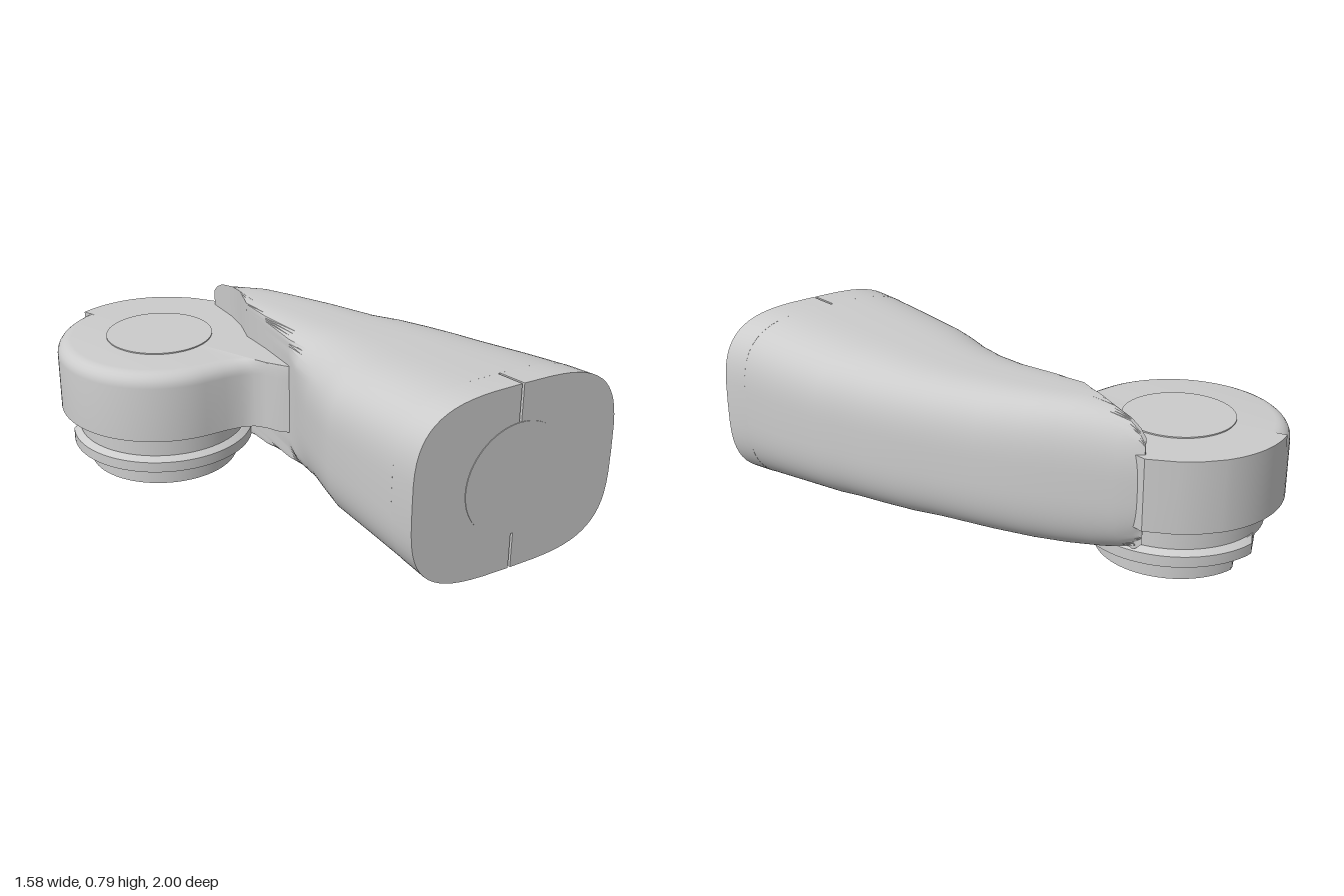
import * as THREE from 'three';
import { toCreasedNormals } from 'three/addons/utils/BufferGeometryUtils.js';

const HEAD = { x: -0.36, z: -0.567, r: 0.434 };
const FRONT = 1, COLLAR = 0.88;

// Arm sections: z, left, right, cut wall on the head side, bottom, top
const ARM = [
  [1, -0.13, 0.79, -1, 0.02, 0.785],
  [0.88, -0.135, 0.765, -1, 0.03, 0.78],
  [0.7, -0.145, 0.725, -1, 0.045, 0.765],
  [0.48, -0.155, 0.67, -1, 0.06, 0.745],
  [0.38, -0.14, 0.635, -0.8, 0.07, 0.74],
  [0.25, -0.115, 0.59, -0.3, 0.078, 0.73],
  [0.12, -0.11, 0.54, -0.085, 0.085, 0.72],
  [0, -0.13, 0.48, -0.05, 0.09, 0.71],
  [-0.2, -0.17, 0.385, -0.045, 0.09, 0.71],
  [-0.35, -0.2, 0.3, -0.05, 0.09, 0.71],
  [-0.47, -0.24, 0.228, -0.015, 0.095, 0.71],
  [-0.58, -0.27, 0.152, 0, 0.105, 0.695],
  [-0.67, -0.28, 0.09, 0, 0.125, 0.675],
  [-0.72, -0.28, 0.052, 0, 0.15, 0.65],
  [-0.75, -0.28, 0.025, 0, 0.18, 0.62],
];

const material = new THREE.MeshStandardMaterial({ color: 0xcccccc });

function part(name, geometry, crease = 0.6) {
  const mesh = new THREE.Mesh(toCreasedNormals(geometry, crease), material);
  mesh.name = name;
  return mesh;
}

// Skin over closed rings of equal length, with a fan cap at both ends
function loft(rings, centres) {
  const n = rings[0].length, pos = [], index = [];
  rings.forEach(ring => ring.forEach(p => pos.push(...p)));
  for (let i = 0; i < rings.length - 1; i++) {
    for (let j = 0; j < n; j++) {
      const a = i * n + j, b = i * n + (j + 1) % n;
      index.push(a, a + n, b, b, a + n, b + n);
    }
  }
  const first = rings.length * n, base = first - n;
  pos.push(...centres[0], ...centres[1]);
  for (let j = 0; j < n; j++) {
    const k = (j + 1) % n;
    index.push(first, j, k, first + 1, base + k, base + j);
  }
  const g = new THREE.BufferGeometry();
  g.setAttribute('position', new THREE.Float32BufferAttribute(pos, 3));
  g.setIndex(index);
  return g;
}

// Point on a unit superellipse
function superPoint(t, n) {
  const f = v => Math.sign(v) * Math.abs(v) ** (2 / n);
  return [f(Math.cos(t)), f(Math.sin(t))];
}

// Places a unit section point into an arm section
function place([u, v], [z, left, right, wall, low, high]) {
  const x = (left + right) / 2 + u * (right - left) / 2;
  return [Math.max(x, wall), (low + high) / 2 + v * (high - low) / 2, z];
}

function armGeometry() {
  const sides = 96;
  const rows = ARM.slice(1);
  const rings = rows.map(row => Array.from({ length: sides }, (_, i) =>
    place(superPoint(i / sides * Math.PI * 2, 3.15 + 0.28 * row[0]), row)));
  const centres = [rows[0], rows.at(-1)].map(r =>
    [(Math.max(r[1], r[3]) + r[2]) / 2, (r[4] + r[5]) / 2, r[0]]);
  return loft(rings, centres);
}

// End collar with a narrow slot at top and bottom
function collarGeometry() {
  const sides = 64, w = 0.011, pts = [];
  for (let i = 0; i < sides; i++) {
    if (i === sides / 4) pts.push([w, 1], [w, 0.6], [-w, 0.6], [-w, 1]);
    else if (i === sides * 3 / 4) pts.push([-w, -1], [-w, -0.6], [w, -0.6], [w, -1]);
    else pts.push(superPoint(i / sides * Math.PI * 2, 3.43));
  }
  const shape = new THREE.Shape(pts.map(p => new THREE.Vector2(...p)));
  const g = new THREE.ExtrudeGeometry(shape, { depth: FRONT - COLLAR, bevelEnabled: false });
  const p = g.attributes.position;
  for (let i = 0; i < p.count; i++) {
    const row = p.getZ(i) > 0.01 ? ARM[0] : ARM[1];
    p.setXYZ(i, ...place([p.getX(i), p.getY(i)], row));
  }
  return g;
}

// Head outline as [x, z, bevel weight]: round, then running into the arm
function headOutline() {
  const pts = [];
  const arc = (from, to, steps, bevel) => {
    for (let i = 0; i <= steps; i++) {
      const a = THREE.MathUtils.degToRad(from + (to - from) * i / steps);
      pts.push([HEAD.x + HEAD.r * Math.cos(a), HEAD.z + HEAD.r * Math.sin(a), bevel]);
    }
  };
  arc(90, 245, 36, 1);
  arc(245.2, 292, 12, 0);
  pts.push([-0.12, -0.928, 0], [-0.05, -0.872, 0], [0.03, -0.775, 0], [0.03, -0.7, 0],
    [0.05, -0.4, 0], [0.05, 0, 0], [-0.05, 0.02, 0], [-0.09, -0.02, 1],
    [-0.115, -0.07, 1], [-0.15, -0.11, 1], [-0.2, -0.128, 1], [-0.27, -0.134, 1]);
  return pts;
}

function headGeometry() {
  const bottom = 0.255, top = 0.553, b = 0.06;
  const levels = [[bottom, 0]];
  for (let i = 0; i <= 6; i++) {
    const a = i / 6 * Math.PI / 2;
    levels.push([top - b + b * Math.sin(a), b * (1 - Math.cos(a))]);
  }
  const outline = headOutline();
  const rings = levels.map(([y, inset]) => outline.map(([x, z, bevel]) => {
    const dx = x - HEAD.x, dz = z - HEAD.z;
    const s = 1 - inset * bevel / Math.hypot(dx, dz);
    return [HEAD.x + dx * s, y, HEAD.z + dz * s];
  }));
  return loft(rings, [[HEAD.x, bottom, HEAD.z], [HEAD.x, top, HEAD.z]]);
}

// Round step around the head axis, optionally with one side cut flat
function disc(name, rTop, rBottom, y0, y1, flat = Infinity) {
  const g = new THREE.CylinderGeometry(rTop, rBottom, y1 - y0, 72);
  const p = g.attributes.position, nx = -0.6, nz = -0.8;
  for (let i = 0; i < p.count; i++) {
    const over = p.getX(i) * nx + p.getZ(i) * nz - flat;
    if (over > 0) p.setXYZ(i, p.getX(i) - nx * over, p.getY(i), p.getZ(i) - nz * over);
  }
  g.translate(HEAD.x, (y0 + y1) / 2, HEAD.z);
  return part(name, g, 0.4);
}

export function createModel() {
  const model = new THREE.Group();
  model.name = 'curvedArmWithRoundHead';

  model.add(part('arm', armGeometry()));
  model.add(part('endCollar', collarGeometry(), 0.5));

  // Shallow round inlay on the arm's end face
  const inlay = new THREE.CylinderGeometry(0.23, 0.23, 0.02, 64).rotateX(Math.PI / 2);
  inlay.translate(0.33, 0.4025, FRONT - 0.007);
  model.add(part('endInlay', inlay));

  model.add(part('head', headGeometry()));
  model.add(disc('headCap', 0.225, 0.225, 0.54, 0.558));

  // Stepped mount below the head
  model.add(disc('mountNeck', 0.36, 0.36, 0.14, 0.26));
  model.add(disc('flangeChamfer', 0.365, 0.39, 0.135, 0.152, 0.33));
  model.add(disc('flange', 0.39, 0.39, 0.09, 0.135, 0.33));
  model.add(disc('mountBase', 0.32, 0.32, 0, 0.09, 0.26));

  return model;
}
